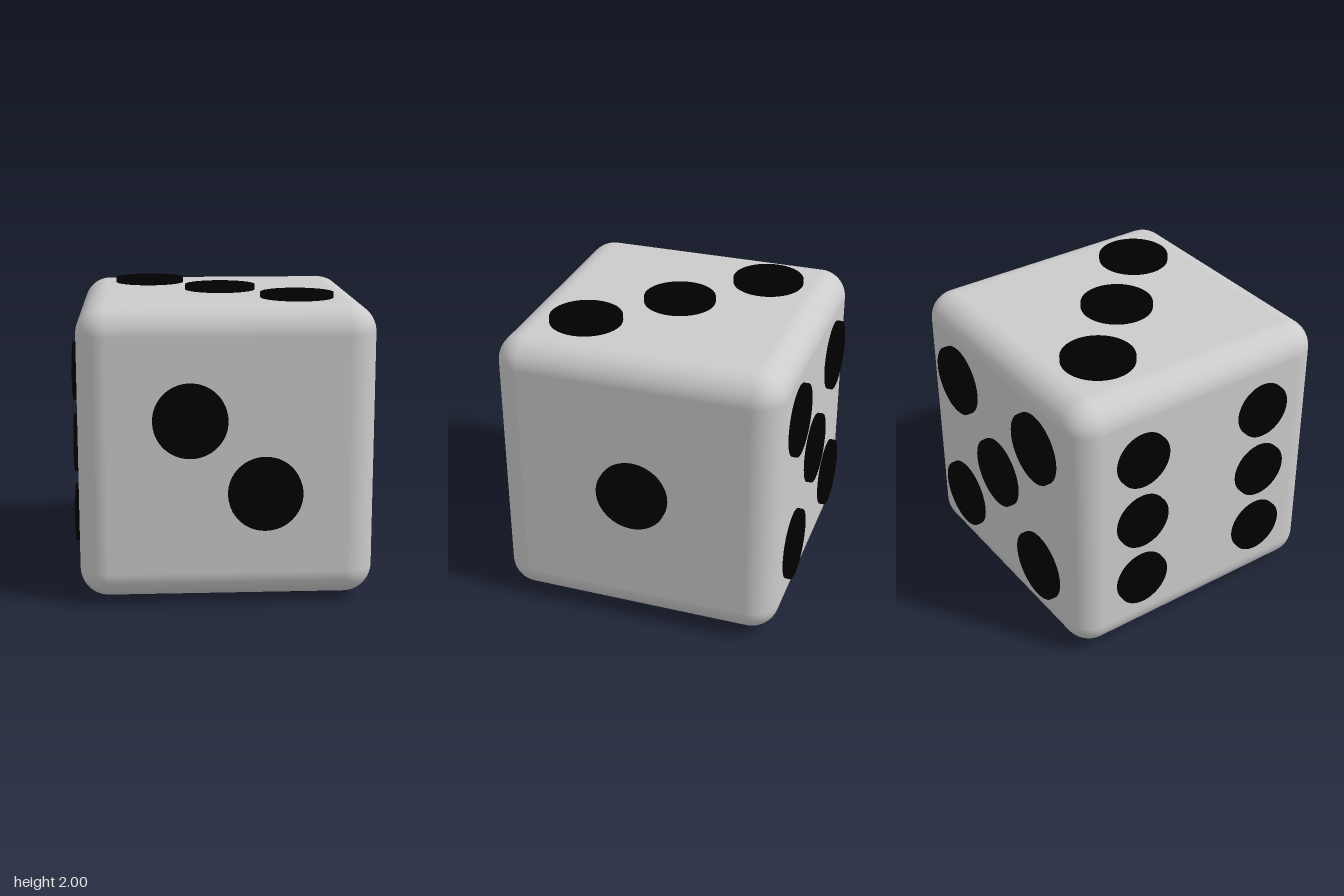
import * as THREE from 'three';
import { RoundedBoxGeometry } from 'three/addons/geometries/RoundedBoxGeometry.js';

const BODY = 1.932;   // edge length of the cube
const REACH = 1;      // distance from centre to the outer face of a pip
const DEPTH = 0.07;   // pip thickness, partly sunk into the body
const S = 0.483;      // pip spacing
const H = S / 2;

// Pips per face: outward normal, pip radius, and centres on the face plane
// (x faces: [y, z]; y faces: [x, z]; z faces: [x, y]), relative to the cube centre
const corners = [[-S, -S], [-S, S], [S, -S], [S, S]];
const FACES = [
  { name: 'left', normal: [1, 0, 0], radius: 0.242, spots: [[0, 0]] },
  { name: 'front', normal: [0, 0, 1], radius: 0.242, spots: [[-H, H], [H, -H]] },
  { name: 'top', normal: [0, 1, 0], radius: 0.242, spots: [[-S, -S], [0, 0], [S, S]] },
  { name: 'bottom', normal: [0, -1, 0], radius: 0.242, spots: corners },
  { name: 'back', normal: [0, 0, -1], radius: 0.242, spots: [...corners, [0, 0]] },
  { name: 'right', normal: [-1, 0, 0], radius: 0.193, spots: [...corners, [0, -S], [0, S]] },
];

export function createModel() {
  const model = new THREE.Group();
  model.name = 'die';
  const grey = new THREE.MeshStandardMaterial({ color: 0xcccccc });
  const black = new THREE.MeshStandardMaterial({ color: 0x000000 });

  // Rounded cube
  const body = new THREE.Mesh(new RoundedBoxGeometry(BODY, BODY, BODY, 8, 0.19), grey);
  body.name = 'body';
  body.position.y = 1;
  model.add(body);

  // Raised round pips on each face
  const up = new THREE.Vector3(0, 1, 0);
  for (const { name, normal, radius, spots } of FACES) {
    const face = new THREE.Group();
    face.name = name + 'Pips';
    face.position.y = 1;
    const n = new THREE.Vector3(...normal);
    const geometry = new THREE.CylinderGeometry(radius, radius, DEPTH, 64);
    for (const [a, b] of spots) {
      const pip = new THREE.Mesh(geometry, black);
      pip.name = 'pip';
      pip.quaternion.setFromUnitVectors(up, n);
      if (n.x) pip.position.set(0, a, b);
      else if (n.y) pip.position.set(a, 0, b);
      else pip.position.set(a, b, 0);
      pip.position.addScaledVector(n, REACH - DEPTH / 2);
      face.add(pip);
    }
    model.add(face);
  }
  return model;
}
